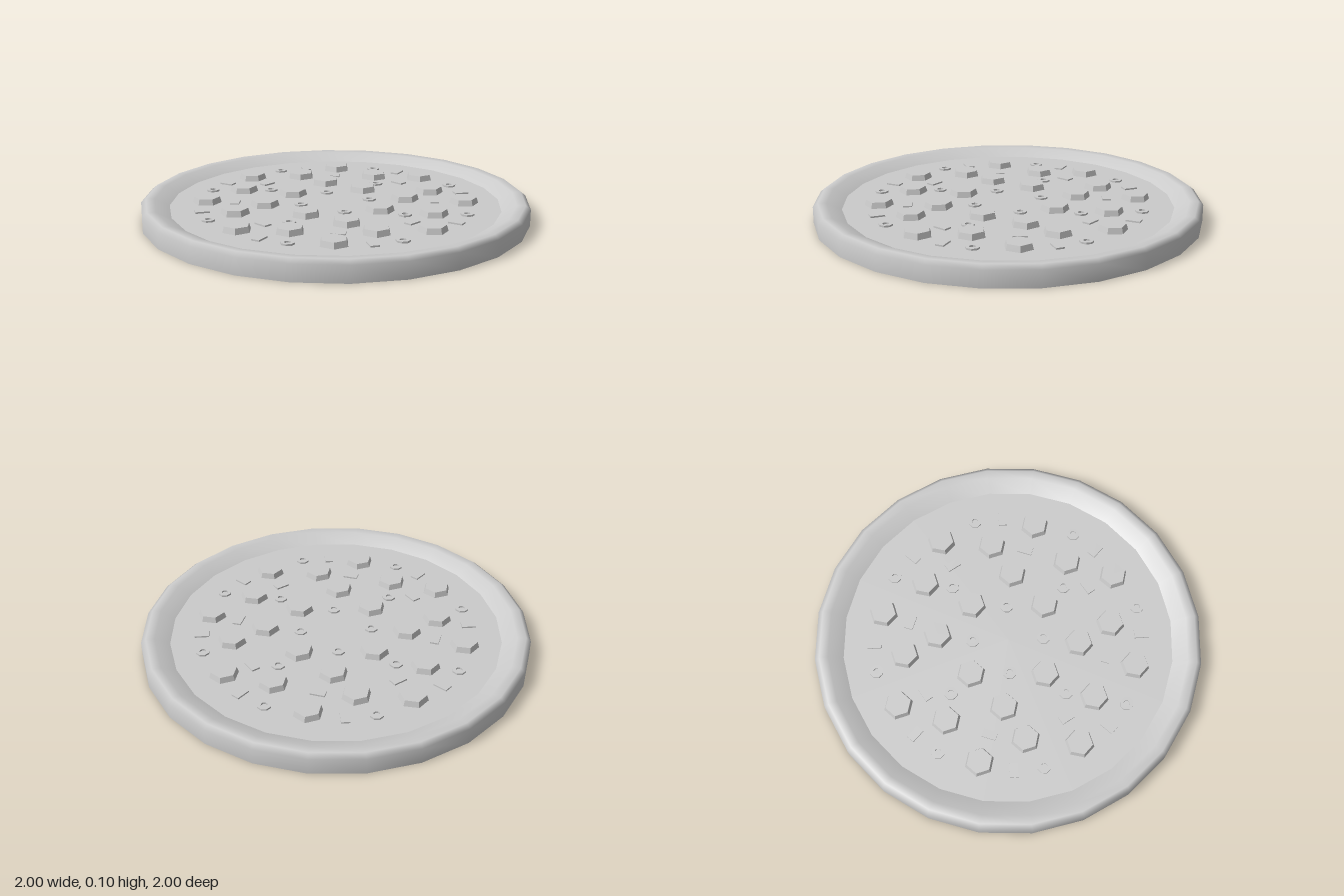
import * as THREE from 'three';

const FLOOR = 0.065;
const START = Math.PI * 0.75; // slice is centred on the back (-z)

export function createModel() {
  const model = new THREE.Group();
  model.name = 'pizza';
  const smooth = new THREE.MeshStandardMaterial({ color: 0xcccccc });
  const flat = new THREE.MeshStandardMaterial({ color: 0xcccccc, flatShading: true });

  const add = (parent, name, geometry, material, x = 0, y = 0, z = 0, turn = 0) => {
    const mesh = new THREE.Mesh(geometry, material);
    mesh.name = name;
    mesh.position.set(x, y, z);
    mesh.rotation.y = turn;
    parent.add(mesh);
  };
  const lathe = (points, segments, start, length) => new THREE.LatheGeometry(
    points.map(([r, y]) => new THREE.Vector2(r, y)), segments, start, length);
  const quarter = (points) => lathe(points, 6, START, Math.PI / 2);

  // Shared geometry for one slice
  const crust = quarter([[1, 0], [1, 0.085], [0.975, 0.105], [0.93, 0.102], [0.855, FLOOR]]);
  const cheese = quarter([[0.855, FLOOR], [0, FLOOR]]);
  const base = quarter([[0, 0], [1, 0]]);
  const pepperoni = new THREE.CylinderGeometry(0.066, 0.075, 0.03, 6);
  const pepper = new THREE.BoxGeometry(0.074, 0.008, 0.044);
  const olive = lathe([[0.017, 0], [0.035, 0], [0.035, 0.009], [0.017, 0.009], [0.017, 0]], 8);

  // Topping positions: x, z (and turn in degrees for the pepper pieces)
  const pepperonis = [[-0.125, -0.655], [0.115, -0.525], [0.37, -0.548],
    [-0.29, -0.455], [-0.125, -0.345], [0.1, -0.25]];
  const olives = [[0.085, -0.69], [-0.43, -0.55], [0.152, -0.385], [-0.08, -0.165]];
  const peppers = [[-0.3, -0.625, 117], [0.23, -0.65, 72], [-0.115, -0.505, 6], [0.27, -0.437, -33]];

  // Four identical slices around the centre
  for (let i = 0; i < 4; i++) {
    const slice = new THREE.Group();
    slice.name = 'slice' + (i + 1);
    slice.rotation.y = i * Math.PI / 2;
    add(slice, 'crust', crust, smooth);
    add(slice, 'cheese', cheese, smooth);
    add(slice, 'base', base, smooth);
    for (const [x, z] of pepperonis) add(slice, 'pepperoni', pepperoni, flat, x, FLOOR + 0.015, z, 0.2);
    for (const [x, z] of olives) add(slice, 'olive', olive, flat, x, FLOOR, z);
    for (const [x, z, deg] of peppers) {
      add(slice, 'pepper', pepper, flat, x, FLOOR + 0.004, z, THREE.MathUtils.degToRad(deg));
    }
    model.add(slice);
  }
  return model;
}
